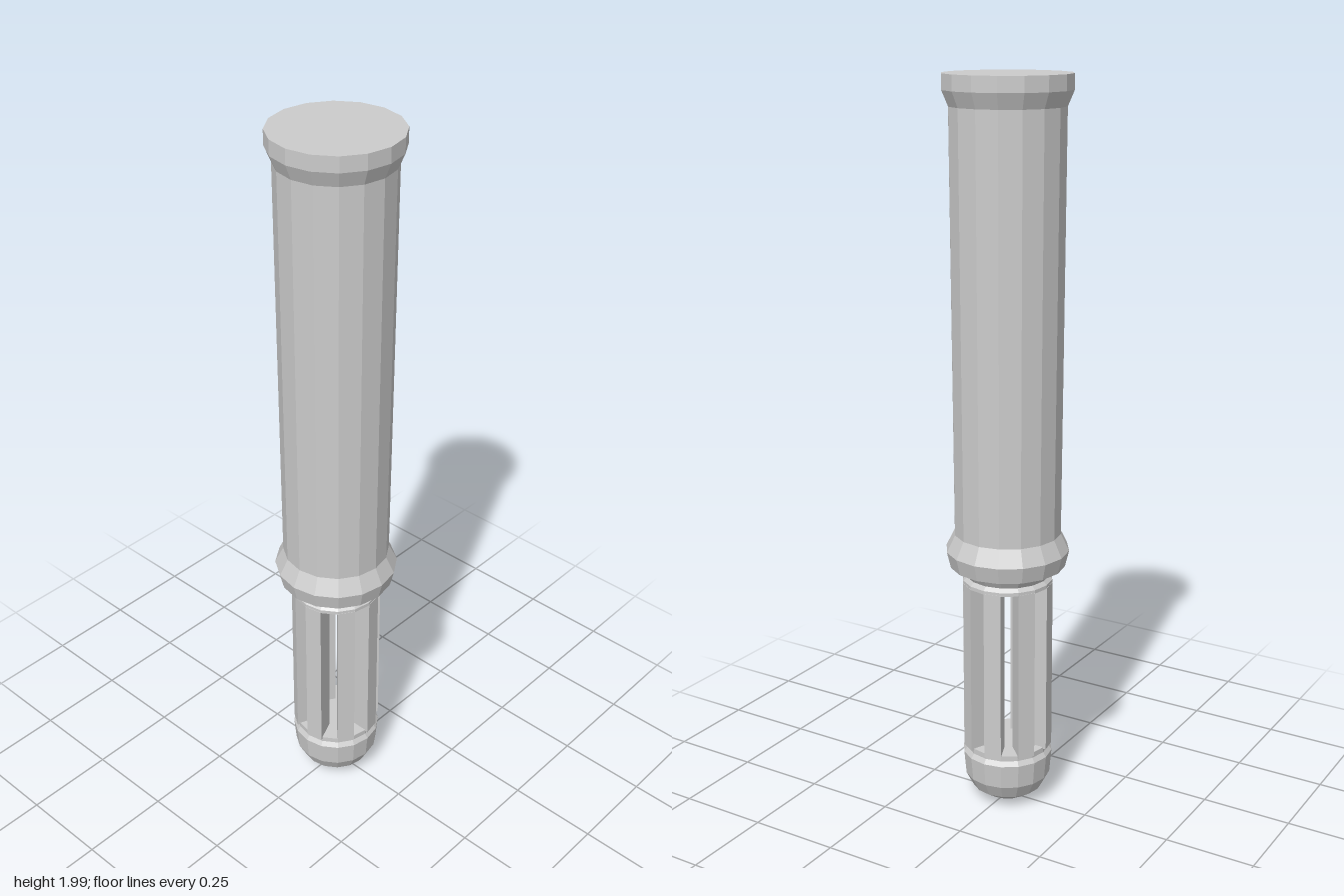
import * as THREE from 'three';

const SIDES = 16;
const STEP = (Math.PI * 2) / SIDES;

export function createModel() {
  const group = new THREE.Group();
  const material = new THREE.MeshStandardMaterial({ color: 0xcccccc, flatShading: true });

  const add = (name, geometry) => {
    const mesh = new THREE.Mesh(geometry, material);
    mesh.name = name;
    group.add(mesh);
  };
  // Faceted solid of revolution; profile runs [radius, y] from bottom to top
  const turned = (name, profile) =>
    add(name, new THREE.LatheGeometry(profile.map(([r, y]) => new THREE.Vector2(r, y)), SIDES));

  // Rounded tip with a small groove below the cage
  turned('tip', [
    [0, 0.008], [0.058, 0.018], [0.098, 0.045], [0.119, 0.085], [0.125, 0.152],
    [0.116, 0.165], [0.116, 0.18], [0, 0.18],
  ]);

  // Neck ring joining the cage to the collar
  turned('neck', [
    [0, 0.655], [0.123, 0.655], [0.123, 0.665], [0.113, 0.675], [0.113, 0.7], [0, 0.7],
  ]);

  // Handle with lower collar, slightly tapered grip and flared end cap
  turned('handle', [
    [0, 0.675], [0.113, 0.675], [0.125, 0.695], [0.157, 0.705], [0.168, 0.75], [0.145, 0.797],
    [0.151, 1.92], [0.168, 1.96], [0.168, 2], [0, 2],
  ]);

  // Cage: wedge ribs on every other facet around a hollow core
  const inner = 0.055, outer = 0.124, bottom = 0.175, top = 0.657;
  const at = (r, a) => new THREE.Vector2(r * Math.sin(a), -r * Math.cos(a));
  for (let i = 0; i < SIDES; i += 2) {
    const a = i * STEP, b = a + STEP;
    const section = new THREE.Shape([at(inner, a), at(outer, a), at(outer, b), at(inner, b)]);
    const rib = new THREE.ExtrudeGeometry(section, { depth: top - bottom, bevelEnabled: false });
    rib.rotateX(-Math.PI / 2).translate(0, bottom, 0);
    add('rib' + (i / 2 + 1), rib);
  }

  return group;
}
